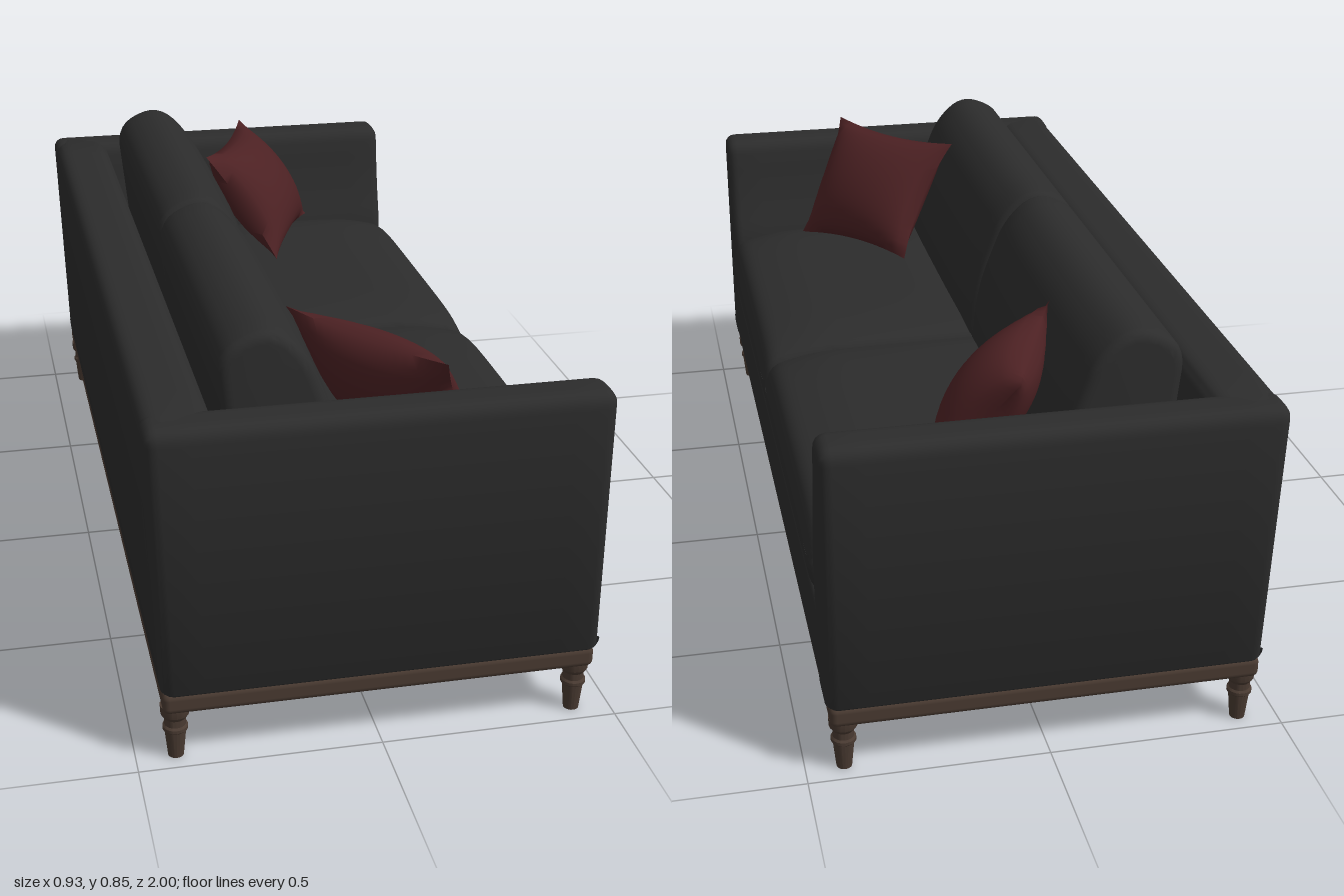
import * as THREE from 'three';
import { toCreasedNormals, mergeVertices } from 'three/addons/utils/BufferGeometryUtils.js';
import { RoundedBoxGeometry } from 'three/addons/geometries/RoundedBoxGeometry.js';

const material = (name, color) => {
  const m = new THREE.MeshStandardMaterial({ color });
  m.name = name;
  return m;
};

// Closed outline through [x, y, radius] points with rounded corners
function roundedShape(points) {
  const shape = new THREE.Shape();
  const n = points.length;
  points.forEach(([x, y, r], i) => {
    const corner = new THREE.Vector2(x, y);
    const toward = ([px, py]) => new THREE.Vector2(px, py).sub(corner).setLength(r).add(corner);
    const start = toward(points[(i + n - 1) % n]);
    const end = toward(points[(i + 1) % n]);
    if (i === 0) shape.moveTo(start.x, start.y);
    else shape.lineTo(start.x, start.y);
    shape.quadraticCurveTo(x, y, end.x, end.y);
  });
  shape.closePath();
  return shape;
}

// Soft-edged bar: an outline extruded from 0 to length, optionally reshaped
function softBar(points, length, bevel, reshape) {
  const geometry = new THREE.ExtrudeGeometry(roundedShape(points), {
    depth: length - 2 * bevel, steps: 14, curveSegments: 6,
    bevelEnabled: true, bevelSize: bevel, bevelOffset: -bevel, bevelThickness: bevel, bevelSegments: 4,
  });
  geometry.translate(0, 0, bevel);
  if (reshape) {
    const p = geometry.attributes.position;
    const v = new THREE.Vector3();
    for (let i = 0; i < p.count; i++) {
      reshape(v.fromBufferAttribute(p, i));
      p.setXYZ(i, v.x, v.y, v.z);
    }
  }
  return toCreasedNormals(geometry, 0.7);
}

// Scatter pillow spanned by four corners, pinched at the edges and puffed in the middle
function pillowGeometry(corners, puff) {
  const [a, b, c, d] = corners.map((q) => new THREE.Vector3(...q));
  const normal = a.clone().sub(c).cross(b.clone().sub(d)).normalize();
  const n = 18;
  const positions = [];
  const indices = [];
  for (const side of [1, -1]) {
    const base = positions.length / 3;
    for (let i = 0; i <= n; i++) {
      for (let j = 0; j <= n; j++) {
        const s = (i / n) * 2 - 1, t = (j / n) * 2 - 1;
        const u = 0.5 + 0.5 * s * (1 - 0.11 * (1 - t * t) * s * s);
        const w = 0.5 + 0.5 * t * (1 - 0.11 * (1 - s * s) * t * t);
        const v = a.clone().lerp(b, u).lerp(d.clone().lerp(c, u), w);
        v.addScaledVector(normal, side * puff * Math.pow((1 - s * s) * (1 - t * t), 0.6));
        positions.push(v.x, v.y, v.z);
      }
    }
    for (let i = 0; i < n; i++) {
      for (let j = 0; j < n; j++) {
        const k = base + i * (n + 1) + j, l = k + n + 1;
        if (side > 0) indices.push(k, l, k + 1, l, l + 1, k + 1);
        else indices.push(k, k + 1, l, l, k + 1, l + 1);
      }
    }
  }
  const geometry = new THREE.BufferGeometry();
  geometry.setAttribute('position', new THREE.Float32BufferAttribute(positions, 3));
  geometry.setIndex(indices);
  return toCreasedNormals(mergeVertices(geometry), 1.2);
}

export function createModel() {
  const sofa = new THREE.Group();
  sofa.name = 'sofa';
  const fabric = material('charcoalFabric', 0x2c2c2c);
  const red = material('darkRedFabric', 0x4c2123);
  const wood = material('darkWood', 0x493a31);
  const add = (name, geometry, mat) => {
    const mesh = new THREE.Mesh(geometry, mat);
    mesh.name = name;
    sofa.add(mesh);
    return mesh;
  };

  // Wooden plinth
  add('plinth', new RoundedBoxGeometry(0.895, 0.047, 1.98, 3, 0.014), wood).position.set(0.002, 0.1385, 0);

  // Turned legs
  const legProfile = [
    [0, 0], [0.016, 0], [0.022, 0.06], [0.026, 0.064], [0.026, 0.071], [0.022, 0.075],
    [0.022, 0.09], [0.029, 0.1], [0.03, 0.12], [0, 0.12],
  ].map(([r, y]) => new THREE.Vector2(r, y));
  const legGeometry = toCreasedNormals(new THREE.LatheGeometry(legProfile, 20), 0.6);
  for (const x of [-0.418, 0.42]) {
    for (const z of [-0.953, 0.953]) {
      add(x > 0 ? 'frontLeg' : 'backLeg', legGeometry, wood).position.set(x, 0, z);
    }
  }

  // Backrest shell between the arms, leaning slightly outward
  const back = softBar([
    [-0.448, 0.16, 0.006], [-0.468, 0.74, 0.04], [-0.33, 0.738, 0.035],
    [-0.29, 0.52, 0.08], [-0.28, 0.16, 0.006],
  ], 1.94, 0.02);
  add('backrest', back, fabric).position.z = -0.97;

  // Arms over the full depth, thickening toward the seat; the rear end follows the lean of the back
  for (const side of [1, -1]) {
    const section = [
      [0.995, 0.16, 0.006], [1, 0.74, 0.035], [0.895, 0.738, 0.035], [0.87, 0.59, 0.07],
      [0.832, 0.47, 0.05], [0.835, 0.34, 0.02], [0.87, 0.3, 0.02], [0.87, 0.16, 0.006],
    ].map(([z, y, r]) => [-side * z, y, r]);
    const arm = softBar(section, 0.925, 0.025, (v) => {
      if (v.z < 0.2) v.z += 0.02 * (0.74 - v.y) / 0.58;
    });
    arm.rotateY(Math.PI / 2);
    add(side > 0 ? 'leftArm' : 'rightArm', arm, fabric).position.x = -0.468;
  }

  // Front rail below the cushions
  const rail = new RoundedBoxGeometry(0.76, 0.168, 1.744, 4, 0.014);
  add('seatRail', rail, fabric).position.set(0.076, 0.243, 0);

  // Seat and back cushions, one pair per side
  const width = 0.83;
  const across = (z) => Math.abs((z / width) * 2 - 1);
  const seatSection = [
    [-0.28, 0.328, 0.03], [0.452, 0.328, 0.03], [0.47, 0.4, 0.04],
    [0.452, 0.488, 0.035], [0.34, 0.517, 0.07], [-0.28, 0.522, 0.03],
  ];
  const backSection = [
    [-0.27, 0.47, 0.03], [-0.306, 0.815, 0.06], [-0.19, 0.866, 0.06],
    [-0.108, 0.795, 0.045], [-0.045, 0.63, 0.07], [-0.03, 0.47, 0.03],
  ];
  for (const side of [1, -1]) {
    const label = side > 0 ? 'left' : 'right';
    const z = side > 0 ? 0.002 : -0.002 - width;
    const seat = softBar(seatSection, width, 0.025, (v) => {
      if (v.y > 0.42) v.y -= 0.022 * Math.pow(across(v.z), 6);
    });
    add(label + 'SeatCushion', seat, fabric).position.z = z;
    const cushion = softBar(backSection, width, 0.022, (v) => {
      v.x -= 0.012 * Math.pow(across(v.z), 4) * THREE.MathUtils.smoothstep(v.x, -0.25, -0.1);
    });
    add(label + 'BackCushion', cushion, fabric).position.z = z;
  }

  // Scatter pillows, corners in order around the edge
  add('leftPillow', pillowGeometry([
    [0.135, 0.79, 0.915], [-0.115, 0.8, 0.575], [0.035, 0.522, 0.475], [0.27, 0.505, 0.78],
  ], 0.08), red);
  add('rightPillow', pillowGeometry([
    [-0.105, 0.797, -0.513], [0.05, 0.788, -0.893], [0.225, 0.525, -0.807], [0.07, 0.525, -0.447],
  ], 0.08), red);

  return sofa;
}
